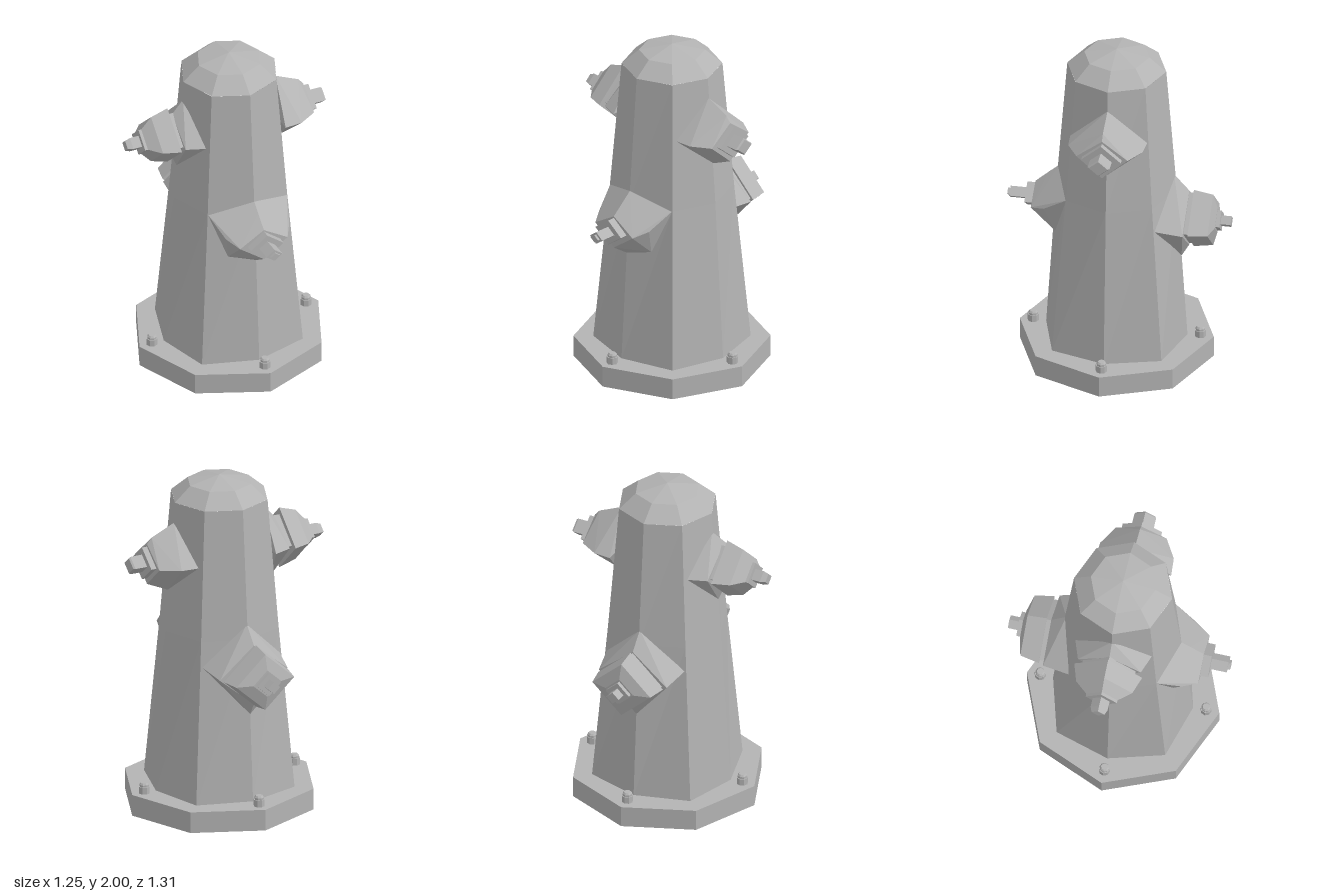
import * as THREE from 'three';
import { ConvexGeometry } from 'three/addons/geometries/ConvexGeometry.js';

const grey = new THREE.MeshStandardMaterial({ color: 0xb3b3b3 });
grey.name = 'castIronGrey';

// Faceted mesh with one normal per face
function part(name, geometry, parent) {
  const g = geometry.index ? geometry.toNonIndexed() : geometry;
  g.computeVertexNormals();
  const mesh = new THREE.Mesh(g, grey);
  mesh.name = name;
  parent.add(mesh);
  return mesh;
}

// Faceted turned shape from [radius, height] pairs, corners on the axes
function turned(profile, sides) {
  const [first, last] = [profile[0], profile[profile.length - 1]];
  const closed = [[0, first[1]], ...profile, [0, last[1]]];
  return new THREE.LatheGeometry(closed.map(([r, h]) => new THREE.Vector2(r, h)), sides);
}

// Eight-sided body from [y, axis radius, corner offset] rings
function octagonLoft(rings) {
  const position = [], index = [];
  for (const [y, a, c] of rings) {
    for (let i = 0; i < 8; i++) {
      const t = (i * Math.PI) / 4, r = i % 2 ? c * Math.SQRT2 : a;
      position.push(r * Math.sin(t), y, r * Math.cos(t));
    }
  }
  for (let k = 0; k < rings.length - 1; k++) {
    for (let i = 0; i < 8; i++) {
      const a = k * 8 + i, b = k * 8 + ((i + 1) % 8);
      index.push(a, b, b + 8, a, b + 8, a + 8);
    }
  }
  const g = new THREE.BufferGeometry();
  g.setAttribute('position', new THREE.Float32BufferAttribute(position, 3));
  g.setIndex(index);
  return g;
}

// Outlet facing +z, then turned to its side; collar points are mirrored in x
function outlet(name, { turn, y, squash, collar, pieces }, parent) {
  const group = new THREE.Group();
  group.name = name;
  group.rotation.y = turn;
  const points = collar.flatMap(([px, py, pz]) =>
    (px ? [px, -px] : [0]).map((x) => new THREE.Vector3(x, py, pz)));
  part(name + 'Collar', new ConvexGeometry(points), group);
  for (const [label, profile] of Object.entries(pieces)) {
    const g = turned(profile, 4);
    g.scale(1, 1, squash);
    g.rotateX(Math.PI / 2);
    part(name + label, g, group).position.y = y;
  }
  parent.add(group);
}

export function createModel() {
  const model = new THREE.Group();
  model.name = 'hydrant';
  const root = new THREE.Group();
  root.name = 'hydrantParts';
  root.position.set(0.03, 0, 0.017);
  model.add(root);

  // Base plate, tapered barrel and domed bonnet
  part('basePlate', turned([[0.566, 0], [0.566, 0.127]], 8), root);
  part('barrel', octagonLoft([[0.12, 0.413, 0.32], [1.1, 0.35, 0.252], [1.877, 0.289, 0.205]]), root);
  part('bonnet', turned([[0.289, 1.877], [0.19, 1.962], [0.001, 2]], 8), root);

  // Four bolts on the base plate
  for (let i = 0; i < 4; i++) {
    const t = (i * Math.PI) / 2;
    const bolt = part('baseBolt', turned([[0.033, 0.12], [0.033, 0.168], [0.028, 0.168], [0.028, 0.18], [0.02, 0.19]], 8), root);
    bolt.position.set(0.488 * Math.sin(t), 0, 0.488 * Math.cos(t));
  }

  outlet('frontOutlet', {
    turn: 0, y: 0.973, squash: 0.75,
    collar: [
      [0, 1.18, 0.34], [0.25, 1.1, 0.25], [0.2, 1.0, 0.39], [0.16, 0.835, 0.33], [0, 0.79, 0.37],
      [0, 1.13, 0.397], [0, 1.06, 0.475], [0.15, 0.97, 0.475], [0, 0.86, 0.475],
    ],
    pieces: {
      Flange: [[0.103, 0.46], [0.103, 0.522]],
      Stem: [[0.05, 0.51], [0.05, 0.62], [0.03, 0.62], [0.03, 0.635]],
    },
  }, root);

  outlet('leftOutlet', {
    turn: Math.PI / 2, y: 1.543, squash: 0.84,
    collar: [
      [0, 1.755, 0.295], [0, 1.35, 0.335], [0.225, 1.543, 0.255], [0.217, 1.543, 0.36],
      [0, 1.69, 0.44], [0, 1.655, 0.47], [0, 1.41, 0.47], [0.15, 1.543, 0.47],
    ],
    pieces: {
      Flange: [[0.116, 0.46], [0.116, 0.503]],
      Stem: [[0.064, 0.49], [0.064, 0.578], [0.055, 0.588]],
    },
  }, root);

  outlet('rightOutlet', {
    turn: -Math.PI / 2, y: 1.54, squash: 0.92,
    collar: [
      [0, 1.755, 0.29], [0, 1.675, 0.36], [0, 1.38, 0.36], [0, 1.315, 0.332],
      [0.225, 1.54, 0.25], [0.185, 1.54, 0.36],
    ],
    pieces: {
      Neck: [[0.155, 0.34], [0.155, 0.4]],
      Cap: [[0.2, 0.39], [0.165, 0.494], [0.09, 0.557]],
      Flange: [[0.092, 0.55], [0.092, 0.573]],
      Stem: [[0.05, 0.56], [0.05, 0.627], [0.038, 0.658]],
    },
  }, root);

  outlet('backOutlet', {
    turn: Math.PI, y: 0.912, squash: 0.9,
    collar: [
      [0, 1.193, 0.335], [0, 1.09, 0.423], [0, 0.73, 0.423], [0, 0.652, 0.378],
      [0.255, 0.95, 0.25], [0.22, 0.912, 0.29], [0.22, 0.912, 0.423],
    ],
    pieces: {
      Neck: [[0.19, 0.41], [0.19, 0.46]],
      Cap: [[0.21, 0.45], [0.188, 0.563], [0.09, 0.588]],
      Flange: [[0.076, 0.58], [0.076, 0.612]],
      Stem: [[0.04, 0.6], [0.04, 0.67]],
    },
  }, root);

  return model;
}
